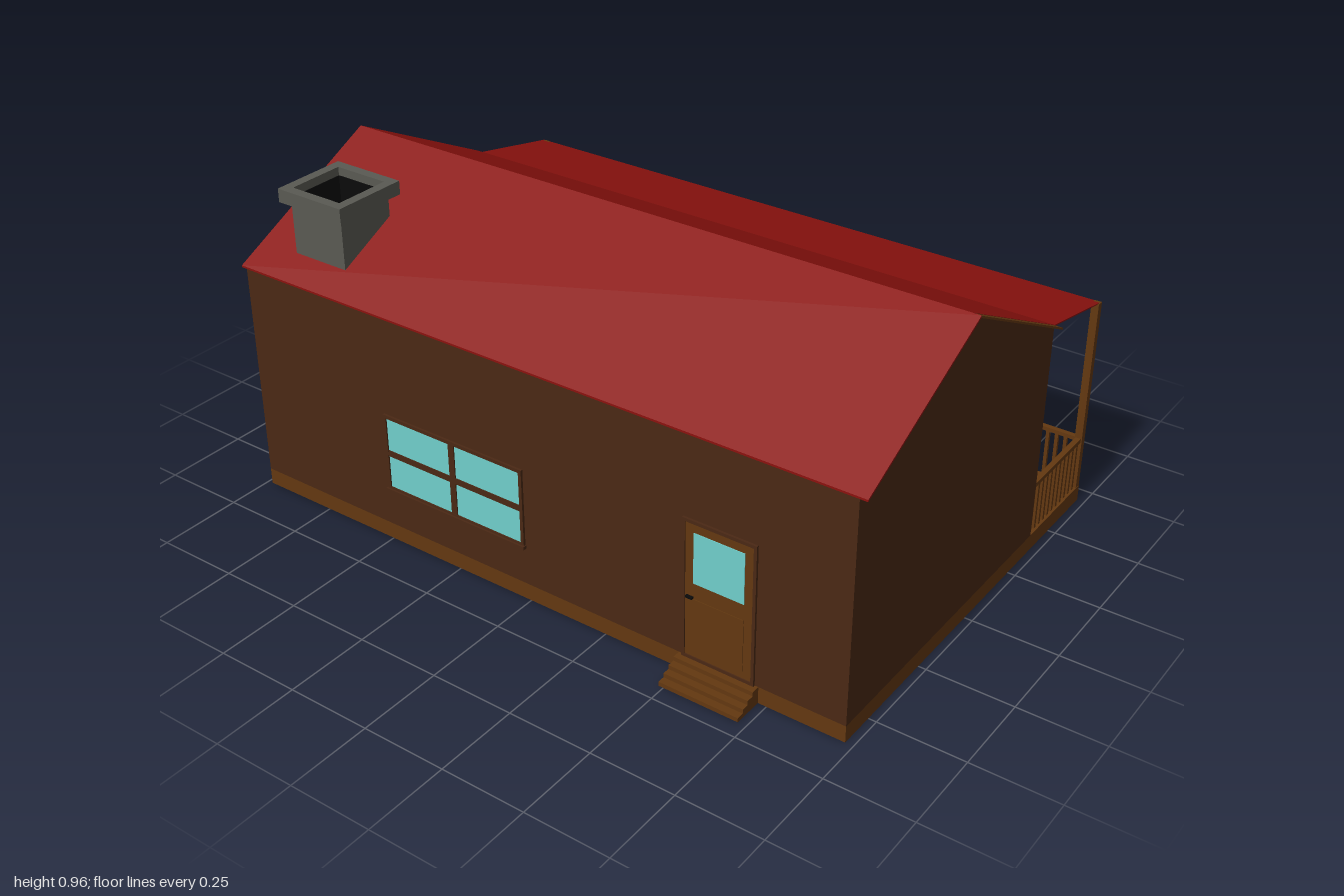
import * as THREE from 'three';

const WALL = 0x4a2814, WOOD = 0x633810, RED = 0x8b120e, GLASS = 0x70cfcb, GREY = 0x5a5a53, BLACK = 0x0b0b0b;
const mats = {};
const mat = (c) => (mats[c] ??= new THREE.MeshStandardMaterial({ color: c, side: THREE.DoubleSide }));

// House outline
const L = -0.61, R = 0.38, RIDGE = -0.115, EAVE = 0.712, TOP = 0.962;
const FRONT = 0.977, BACK = -0.985, DECK = 0.05, PORCH = 0.695;

export function createModel() {
  const model = new THREE.Group();
  model.name = 'cabin';

  const group = (name, parent = model) => {
    const g = new THREE.Group();
    g.name = name;
    parent.add(g);
    return g;
  };
  // Box given by its limits
  const box = (parent, name, color, x1, x2, y1, y2, z1, z2) => {
    const geo = new THREE.BoxGeometry(Math.abs(x2 - x1), y2 - y1, z2 - z1);
    const m = new THREE.Mesh(geo, mat(color));
    m.position.set((x1 + x2) / 2, (y1 + y2) / 2, (z1 + z2) / 2);
    m.name = name;
    parent.add(m);
    return m;
  };
  // Outline in x and y, extruded from z1 to z2
  const prism = (parent, name, color, pts, z1, z2) => {
    const shape = new THREE.Shape(pts.map(([x, y]) => new THREE.Vector2(x, y)));
    const geo = new THREE.ExtrudeGeometry(shape, { depth: z2 - z1, bevelEnabled: false });
    const m = new THREE.Mesh(geo, mat(color));
    m.position.z = z1;
    m.name = name;
    parent.add(m);
  };
  const slab = (parent, name, color, x1, y1, x2, y2, t, z1, z2) =>
    prism(parent, name, color, [[x1, y1 - t], [x2, y2 - t], [x2, y2], [x1, y1]], z1, z2);

  // Foundation: open rim with floor boards over part of it
  const base = group('foundation');
  const rim = 0.025;
  box(base, 'rimLeft', WOOD, L, L + rim, 0, DECK, BACK, FRONT);
  box(base, 'rimRight', WOOD, PORCH - rim, PORCH, 0, DECK, BACK, FRONT);
  box(base, 'rimFront', WOOD, L, PORCH, 0, DECK, FRONT - rim, FRONT);
  box(base, 'rimBack', WOOD, L, PORCH, 0, DECK, BACK, BACK + rim);
  box(base, 'roomFloor', WOOD, L, RIDGE, 0.035, DECK, BACK, FRONT);
  box(base, 'porchDeck', WOOD, R, PORCH, 0.035, DECK, BACK, FRONT);

  // Walls and interior
  const walls = group('walls');
  const t = 0.012;
  const gable = [[L, DECK], [R, DECK], [R, EAVE - 0.006], [RIDGE, TOP - 0.006], [L, EAVE - 0.006]];
  prism(walls, 'frontGable', WALL, gable, FRONT - t, FRONT);
  prism(walls, 'backGable', WALL, gable, BACK, BACK + t);
  box(walls, 'leftWall', WALL, L, L + t, DECK, EAVE - 0.006, BACK, FRONT);
  box(walls, 'rightWall', WALL, R - t, R, DECK, EAVE - 0.006, BACK, FRONT);
  box(walls, 'ceiling', WALL, L + t, R - t, 0.66, 0.67, BACK + t, FRONT - t);
  box(walls, 'lowPartition', WOOD, RIDGE - 0.01, RIDGE, 0.035, 0.23, BACK + t, FRONT - t);

  // Roof
  const roof = group('roof');
  slab(roof, 'leftRoof', RED, L - 0.003, EAVE, RIDGE, TOP, 0.006, -1, 1);
  slab(roof, 'rightRoof', RED, RIDGE, TOP, R + 0.003, EAVE, 0.006, -1, 0.977);
  slab(roof, 'rightRoofTrim', WOOD, RIDGE, TOP - 0.001, R + 0.003, EAVE - 0.001, 0.006, 0.977, 1);
  slab(roof, 'porchRoof', RED, R, EAVE - 0.003, PORCH + 0.002, 0.645, 0.004, -0.99, 0.972);

  // Chimney, hollow with a dark flue
  const chimney = group('chimney');
  const ring = (name, color, cx, cz, outer, inner, y1, y2) => {
    const s = new THREE.Shape();
    const o = outer, i = inner;
    s.moveTo(-o, -o).lineTo(o, -o).lineTo(o, o).lineTo(-o, o);
    const hole = new THREE.Path();
    hole.moveTo(-i, -i).lineTo(-i, i).lineTo(i, i).lineTo(i, -i);
    s.holes.push(hole);
    const geo = new THREE.ExtrudeGeometry(s, { depth: y2 - y1, bevelEnabled: false });
    geo.rotateX(-Math.PI / 2);
    const m = new THREE.Mesh(geo, mat(color));
    m.position.set(cx, y1, cz);
    m.name = name;
    chimney.add(m);
  };
  const cx = -0.436, cz = -0.775;
  ring('stack', GREY, cx, cz, 0.092, 0.086, 0.7, 0.912);
  ring('cap', GREY, cx, cz, 0.115, 0.086, 0.91, 0.95);
  ring('flueLining', BLACK, cx, cz, 0.0865, 0.084, 0.7, 0.925);
  box(chimney, 'flueBottom', BLACK, cx - 0.085, cx + 0.085, 0.8, 0.81, cz - 0.085, cz + 0.085);

  // Panel standing out from a side wall: side 1 is +x, -1 is -x
  const panel = (g, name, color, side, depth, y1, y2, z1, z2) => {
    const x = side > 0 ? R : L;
    return box(g, name, color, x - side * 0.004, x + side * depth, y1, y2, z1, z2);
  };
  const frame = (g, color, side, depth, w, y1, y2, z1, z2) => {
    panel(g, 'frameTop', color, side, depth, y2 - w, y2, z1, z2);
    panel(g, 'frameBottom', color, side, depth, y1, y1 + w, z1, z2);
    panel(g, 'frameSide', color, side, depth, y1, y2, z1, z1 + w);
    panel(g, 'frameSide', color, side, depth, y1, y2, z2 - w, z2);
  };

  // Windows
  const rightWindow = group('rightWindow');
  panel(rightWindow, 'glass', GLASS, 1, 0.003, 0.25, 0.455, -0.205, 0.21);
  frame(rightWindow, WALL, 1, 0.007, 0.006, 0.247, 0.457, -0.208, 0.212);
  panel(rightWindow, 'bar', WOOD, 1, 0.006, 0.346, 0.358, -0.205, 0.21);
  panel(rightWindow, 'sill', WALL, 1, 0.012, 0.241, 0.25, -0.21, 0.215);

  const leftWindow = group('leftWindow');
  panel(leftWindow, 'glass', GLASS, -1, 0.003, 0.175, 0.405, -0.49, -0.02);
  frame(leftWindow, WALL, -1, 0.007, 0.01, 0.17, 0.41, -0.497, -0.013);
  panel(leftWindow, 'crossBar', WALL, -1, 0.006, 0.28, 0.298, -0.49, -0.02);
  panel(leftWindow, 'uprightBar', WALL, -1, 0.006, 0.175, 0.405, -0.265, -0.245);
  panel(leftWindow, 'sill', WALL, -1, 0.013, 0.165, 0.175, -0.5, -0.01);

  // Doors
  const door = (name, side, z1, z2, lowColor, frameColor, knobZ) => {
    const g = group(name);
    panel(g, 'leaf', WOOD, side, 0.004, DECK, 0.462, z1, z2);
    frame(g, frameColor, side, 0.007, 0.009, DECK, 0.47, z1 - 0.004, z2 + 0.004);
    panel(g, 'glass', GLASS, side, 0.006, 0.285, 0.435, z1 + 0.03, z2 - 0.03);
    panel(g, 'lowerPanel', lowColor, side, 0.006, 0.082, 0.237, z1 + 0.03, z2 - 0.03);
    panel(g, 'handle', BLACK, side, 0.012, 0.238, 0.244, knobZ - 0.01, knobZ + 0.01);
  };
  door('rightDoor', 1, -0.868, -0.658, GREY, GREY, -0.85);
  door('leftDoor', -1, 0.5, 0.71, WOOD, WALL, 0.52);

  // Steps up to the left door
  const steps = group('steps');
  [-0.7, -0.678, -0.657, -0.635].forEach((x, i) =>
    box(steps, 'step', WOOD, x, L, i * 0.0125, (i + 1) * 0.0125, 0.485, 0.725));

  // Porch posts and railings
  const porch = group('porch');
  const railX = 0.685, railF = FRONT - 0.012, railB = BACK + 0.012;
  for (const z of [railF, railB])
    box(porch, 'post', WOOD, PORCH - 0.02, PORCH, DECK, 0.647, z - 0.011, z + 0.011);
  const railing = (x1, z1, x2, z2) => {
    const g = group('railing', porch);
    const h = 0.008, b = 0.005;
    box(g, 'handrail', WOOD, x1 - (x1 === x2 ? h : 0), x2 + (x1 === x2 ? h : 0), 0.203, 0.215,
      z1 - (z1 === z2 ? h : 0), z2 + (z1 === z2 ? h : 0));
    const n = Math.max(2, Math.round(Math.hypot(x2 - x1, z2 - z1) / 0.0275));
    for (let i = 0; i < n; i++) {
      const f = (i + 0.5) / n;
      const x = x1 + (x2 - x1) * f, z = z1 + (z2 - z1) * f;
      box(g, 'baluster', WOOD, x - b, x + b, DECK, 0.205, z - b, z + b);
    }
  };
  railing(R, railF, PORCH - 0.02, railF);
  railing(R, railB, PORCH - 0.02, railB);
  // Side railing leaves a gap in front of the door
  railing(railX, -0.65, railX, railF);
  railing(railX, railB, railX, -0.875);

  return model;
}
